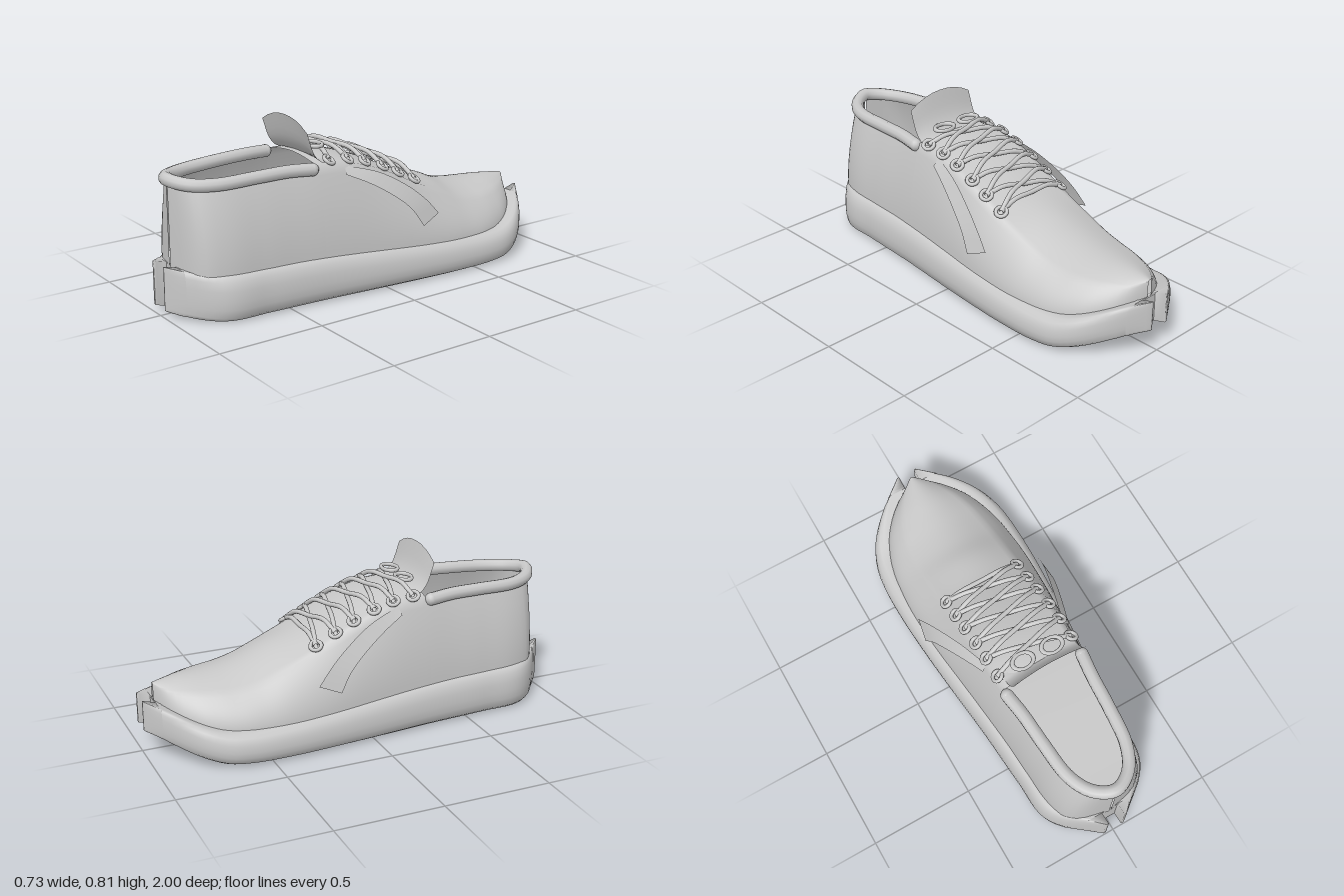
import * as THREE from 'three';

const grey = new THREE.MeshStandardMaterial({ color: 0xc8c8c8, side: THREE.DoubleSide });
grey.name = 'light grey';

const V = (x, y, z) => new THREE.Vector3(x, y, z);

function add(group, name, geometry) {
  const mesh = new THREE.Mesh(geometry, grey);
  mesh.name = name;
  group.add(mesh);
  return mesh;
}

// Smooth interpolation through rows of [z, value, value, ...]
function stations(rows) {
  const size = rows[0].length - 1;
  const curve = new THREE.CubicInterpolant(rows.map(r => r[0]), rows.flatMap(r => r.slice(1)), size);
  return z => Array.from(curve.evaluate(z));
}

// Skin a list of equally long point rows
function loft(rows) {
  const n = rows[0].length, index = [];
  for (let i = 0; i < rows.length - 1; i++) {
    for (let j = 0; j < n - 1; j++) {
      const a = i * n + j, b = a + 1, c = a + n, d = c + 1;
      index.push(a, b, c, b, d, c);
    }
  }
  const g = new THREE.BufferGeometry();
  g.setAttribute('position', new THREE.Float32BufferAttribute(rows.flat().flatMap(p => [p.x, p.y, p.z]), 3));
  g.setIndex(index);
  g.computeVertexNormals();
  return g;
}

const range = (a, b, n) => Array.from({ length: n + 1 }, (_, i) => a + (b - a) * i / n);
const mirrored = pts => pts.slice().reverse().map(p => V(-p.x, p.y, p.z));
const tube = (pts, r, seg = 24) => new THREE.TubeGeometry(new THREE.CatmullRomCurve3(pts), seg, r, 10);

// Sole: half width, bottom, top
const soleAt = stations([
  [-1, 0.055, 0.12, 0.26], [-0.95, 0.13, 0.105, 0.245], [-0.9, 0.2, 0.085, 0.228], [-0.8, 0.295, 0.043, 0.188],
  [-0.7, 0.343, 0.012, 0.158], [-0.6, 0.36, 0.003, 0.15], [-0.4, 0.363, 0, 0.155], [-0.2, 0.352, 0, 0.167],
  [0, 0.335, 0, 0.18], [0.3, 0.305, 0, 0.197], [0.6, 0.283, 0, 0.203], [0.8, 0.262, 0, 0.206],
  [0.88, 0.205, 0.006, 0.211], [0.94, 0.13, 0.015, 0.22], [1, 0.055, 0.035, 0.235]]);
const soleProfile = [[0, 0], [0.8, 0], [0.9, 0.015], [0.965, 0.09], [0.995, 0.28], [1, 0.45],
  [0.99, 0.68], [0.95, 0.87], [0.89, 0.97], [0.82, 1], [0.75, 1], [0, 1]];

function soleSection(z, inner = 0, outer) {
  const [w, b, t] = soleAt(z);
  return soleProfile.map(([kx, ky]) => V(inner + ((outer ?? w) - inner) * kx, b + (t - b) * ky, z));
}

// Upper: half width at base, base height, half width at shoulder, shoulder height, ridge height
const upperAt = stations([
  [-0.94, 0.012, 0.21, 0.008, 0.318, 0.322], [-0.9, 0.1, 0.2, 0.06, 0.3, 0.327], [-0.8, 0.21, 0.165, 0.13, 0.295, 0.335],
  [-0.7, 0.265, 0.14, 0.17, 0.295, 0.338], [-0.6, 0.295, 0.135, 0.19, 0.3, 0.347], [-0.5, 0.308, 0.135, 0.2, 0.32, 0.37],
  [-0.4, 0.315, 0.14, 0.202, 0.36, 0.412], [-0.24, 0.312, 0.15, 0.203, 0.43, 0.46], [-0.1, 0.302, 0.16, 0.203, 0.5, 0.525],
  [0, 0.292, 0.165, 0.202, 0.545, 0.567], [0.15, 0.277, 0.175, 0.2, 0.59, 0.612], [0.3, 0.263, 0.18, 0.193, 0.6, 0.625],
  [0.45, 0.25, 0.185, 0.178, 0.597, 0.6], [0.6, 0.242, 0.185, 0.167, 0.592, 0.6], [0.8, 0.222, 0.19, 0.14, 0.59, 0.6],
  [0.88, 0.182, 0.19, 0.105, 0.592, 0.6], [0.92, 0.115, 0.19, 0.065, 0.598, 0.6], [0.945, 0.004, 0.19, 0.003, 0.605, 0.61]]);

function upperSide(z) {
  const [w, b, wt, ht] = upperAt(z);
  return range(0, 1, 10).map(t => V(w + (wt - w) * Math.pow(t, 1.9), b + (ht - b) * t, z));
}

export function createModel() {
  const shoe = new THREE.Group();
  shoe.name = 'shoe';

  // Sole body with a split bumper at toe and heel
  add(shoe, 'sole', loft(range(-0.94, 0.94, 64).map(z => {
    const half = soleSection(z);
    return [...half, ...mirrored(half)];
  })));
  for (const end of [-1, 1]) {
    const name = end > 0 ? 'heel' : 'toe';
    const [, b, t] = soleAt(end * 0.94);
    add(shoe, name + 'NotchWall', new THREE.BoxGeometry(0.13, t - b - 0.01, 0.02))
      .position.set(0, (b + t) / 2, end * 0.93);
    for (const side of [-1, 1]) {
      const zs = end > 0 ? range(0.94, 1, 5) : range(-1, -0.94, 5);
      const rows = zs.map(z => {
        const s = soleSection(z, 0.042);
        s.push(s[0].clone());
        return side > 0 ? s : mirrored(s);
      });
      // close the outer tip of the lobe
      const tip = soleSection(end, 0.048, 0.048);
      tip.push(tip[0].clone());
      const cap = side > 0 ? tip : mirrored(tip);
      if (end > 0) rows.push(cap); else rows.unshift(cap);
      add(shoe, name + (side > 0 ? 'LeftLobe' : 'RightLobe'), loft(rows));
    }
  }

  // Closed front of the upper
  add(shoe, 'vamp', loft(range(-0.94, 0.31, 50).map(z => {
    const [, , wt, ht, hc] = upperAt(z);
    const half = upperSide(z);
    for (const s of range(0.125, 1, 7)) half.push(V(wt * (1 - s), ht + (hc - ht) * Math.sin(s * Math.PI / 2), z));
    return [...half, ...mirrored(half).slice(1)];
  })));

  // Open quarters around the heel
  const quarterZ = [...range(0.31, 0.85, 18), 0.87, 0.89, 0.905, 0.92, 0.93, 0.94, 0.945];
  add(shoe, 'leftQuarter', loft(quarterZ.map(upperSide)));
  add(shoe, 'rightQuarter', loft(quarterZ.map(z => mirrored(upperSide(z)))));

  // Padded collar roll
  const rim = [V(0.193, 0.588, 0.335), V(0.178, 0.594, 0.45), V(0.168, 0.592, 0.6), V(0.148, 0.586, 0.78),
    V(0.105, 0.588, 0.875), V(0.05, 0.596, 0.925)];
  const collar = [...rim, V(0, 0.602, 0.942), ...mirrored(rim)];
  add(shoe, 'collar', tube(collar, 0.03, 80));
  for (const side of [-1, 1]) {
    add(shoe, 'collarEnd', new THREE.SphereGeometry(0.03, 12, 8)).position.set(side * 0.193, 0.588, 0.335);
  }

  // Upright tongue flap
  const flap = new THREE.CatmullRomCurve3([V(0, 0.61, 0.25), V(0, 0.63, 0.285), V(0, 0.69, 0.325), V(0, 0.805, 0.36)]);
  add(shoe, 'tongue', loft(range(0, 1, 10).map(t => {
    const p = flap.getPoint(t);
    return range(-1, 1, 8).map(u => V(0.0125 + u * 0.182, p.y - 0.054 * t * Math.pow(Math.abs(u), 2.2), p.z));
  })));

  // Eyelets and crossed laces
  const eyeZ = [-0.235, -0.14, -0.05, 0.05, 0.145, 0.245];
  const hole = (i, side) => V(side * 0.19, upperAt(eyeZ[i])[3] + 0.018, eyeZ[i]);
  const ridge = z => upperAt(z)[4] + 0.02;
  for (const side of [-1, 1]) {
    for (let i = 0; i < eyeZ.length; i++) {
      const eye = add(shoe, 'eyelet', new THREE.TorusGeometry(0.025, 0.009, 8, 18));
      eye.position.copy(hole(i, side));
      eye.lookAt(eye.position.clone().add(V(side * 0.55, 1, -0.4)));
    }
  }
  const lace = (a, b, lift) => {
    const at = t => {
      const p = a.clone().lerp(b, t);
      p.y = ridge(p.z) + lift;
      return p;
    };
    add(shoe, 'lace', tube([a, at(0.22), at(0.5), at(0.78), b], 0.011));
  };
  lace(hole(0, -1), hole(0, 1), 0);
  for (let i = 0; i < eyeZ.length - 1; i++) {
    lace(hole(i, -1), hole(i + 1, 1), 0.004);
    lace(hole(i, 1), hole(i + 1, -1), 0.018);
  }

  // Bow loops
  for (const x of [-0.066, 0.082]) {
    const bow = add(shoe, 'bowLoop', new THREE.TorusGeometry(0.05, 0.011, 8, 28));
    bow.rotation.x = Math.PI / 2;
    bow.scale.set(1, 0.72, 0.9);
    bow.position.set(x, 0.668, 0.255);
  }

  // Flared side stripes
  const upperEdge = new THREE.CatmullRomCurve3([V(0.2, 0.58, 0.165), V(0.245, 0.535, 0.01), V(0.285, 0.46, -0.12),
    V(0.31, 0.385, -0.21), V(0.325, 0.31, -0.275)]);
  const lowerEdge = new THREE.CatmullRomCurve3([V(0.225, 0.545, 0.175), V(0.262, 0.495, 0.07), V(0.3, 0.425, -0.04),
    V(0.325, 0.355, -0.12), V(0.343, 0.27, -0.175)]);
  for (const side of [-1, 1]) {
    const rows = range(0, 1, 14).map(t => {
      const a = upperEdge.getPoint(t), b = lowerEdge.getPoint(t);
      const row = range(0, 1, 3).map(s => b.clone().lerp(a, s));
      return side > 0 ? row.reverse() : mirrored(row).reverse();
    });
    add(shoe, side > 0 ? 'leftStripe' : 'rightStripe', loft(rows));
  }

  return shoe;
}
